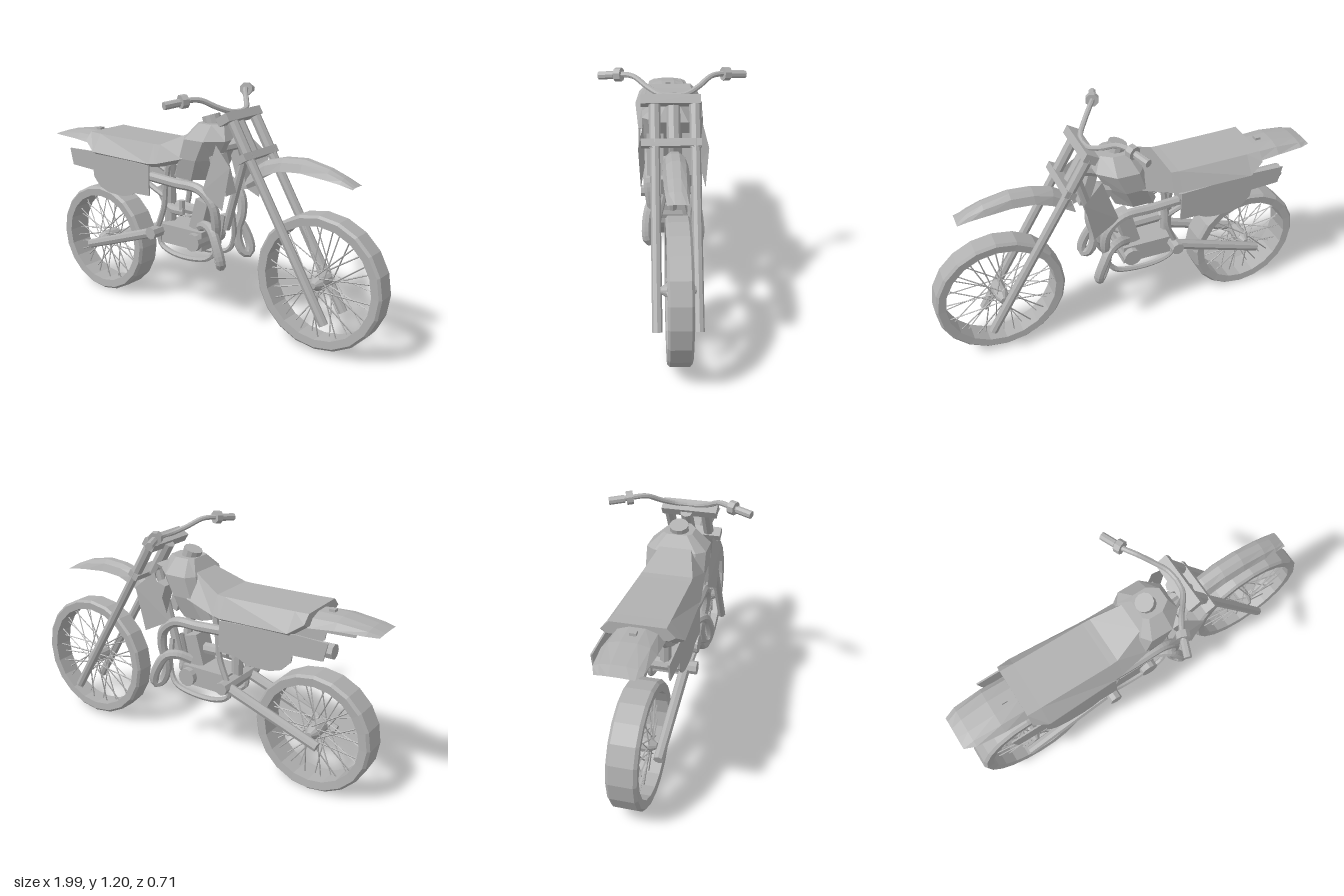
import * as THREE from 'three';

const grey = new THREE.MeshStandardMaterial({ color: 0xb0b0b0, flatShading: true, side: THREE.DoubleSide });
grey.name = 'grey';

const V = (x, y, z) => new THREE.Vector3(x, y, z);

function add(parent, name, geometry) {
  const mesh = new THREE.Mesh(geometry, grey);
  mesh.name = name;
  parent.add(mesh);
  return mesh;
}

// straight bar between two points
function rod(parent, name, a, b, r, sides = 8, r2 = r) {
  const dir = b.clone().sub(a);
  const mesh = add(parent, name, new THREE.CylinderGeometry(r2, r, dir.length(), sides));
  mesh.position.copy(a).add(b).multiplyScalar(0.5);
  mesh.quaternion.setFromUnitVectors(V(0, 1, 0), dir.normalize());
  return mesh;
}

// bent pipe through [x, y, z] points
function pipe(parent, name, pts, r, sides = 8) {
  const curve = new THREE.CatmullRomCurve3(pts.map(p => V(...p)));
  return add(parent, name, new THREE.TubeGeometry(curve, pts.length * 4, r, sides));
}

function box(parent, name, size, pos, tilt = 0) {
  const mesh = add(parent, name, new THREE.BoxGeometry(...size));
  mesh.position.set(...pos);
  mesh.rotation.z = tilt;
  return mesh;
}

// skin joining rows of [x, y, z] points; ring closes each row, caps closes the ends
function loft(rows, ring = false, caps = false) {
  const n = rows[0].length, pos = rows.flat(2), index = [];
  for (let i = 0; i < rows.length - 1; i++)
    for (let j = 0; j < (ring ? n : n - 1); j++) {
      const a = i * n + j, b = i * n + (j + 1) % n;
      index.push(a, b, a + n, b, b + n, a + n);
    }
  if (caps) for (const o of [0, (rows.length - 1) * n])
    for (let j = 1; j < n - 1; j++) index.push(...(o ? [o, o + j, o + j + 1] : [o, o + j + 1, o + j]));
  const g = new THREE.BufferGeometry();
  g.setAttribute('position', new THREE.Float32BufferAttribute(pos, 3));
  g.setIndex(index);
  g.computeVertexNormals();
  return g;
}

// arched mudguard from [x, crest height, drop to edge, half width, edge shift]
function mudguard(sections) {
  return loft(sections.map(([x, y, d, w, s = 0]) =>
    [[-1, 1], [-0.75, 0.35], [-0.3, 0.05], [0.3, 0.05], [0.75, 0.35], [1, 1]]
      .map(([k, e]) => [x + s * e, y - d * e, w * k])));
}

// tyre, rim, hub and crossed spokes
function wheel(name, x, y, z, R, thick, half) {
  const g = new THREE.Group();
  g.name = name;
  g.position.set(x, y, z);
  const inner = R - thick;
  const profile = [[inner, -half * 0.95], [R - 0.012, -half], [R, -half * 0.8],
    [R, half * 0.8], [R - 0.012, half], [inner, half * 0.95], [inner, -half * 0.95]]
    .map(p => new THREE.Vector2(...p));
  add(g, 'tyre', new THREE.LatheGeometry(profile, 20).rotateX(Math.PI / 2));
  rod(g, 'hub', V(0, 0, -0.045), V(0, 0, 0.045), 0.036, 12);
  for (const s of [1, -1]) rod(g, 'hubCone', V(0, 0, s * 0.045), V(0, 0, s * 0.08), 0.036, 12, 0.014);
  for (let i = 0; i < 36; i++) {
    const a = i / 36 * Math.PI * 2, side = i % 2 ? 1 : -1;
    const b = a + (i % 4 < 2 ? 0.9 : -0.9);
    rod(g, 'spoke', V(Math.cos(b) * 0.035, Math.sin(b) * 0.035, side * 0.05),
      V(Math.cos(a) * inner, Math.sin(a) * inner, side * 0.012), 0.0035, 4);
  }
  return g;
}

export function createModel() {
  const model = new THREE.Group();
  model.name = 'dirtBike';
  const bike = new THREE.Group();
  bike.name = 'bikeBody';
  bike.position.z = -0.005;
  model.add(bike);

  bike.add(wheel('frontWheel', 0.667, 0.35, -0.008, 0.33, 0.05, 0.055));
  bike.add(wheel('rearWheel', -0.69, 0.299, 0, 0.298, 0.052, 0.07));

  // fork clamps and steering head
  const rake = Math.atan2(0.53, 0.9);
  box(bike, 'topClamp', [0.068, 0.042, 0.276], [0.205, 1.08, 0.013], rake);
  box(bike, 'lowerClamp', [0.056, 0.035, 0.276], [0.308, 0.908, 0.013], rake);
  rod(bike, 'steeringHead', V(0.275, 0.9, 0), V(0.175, 1.07, 0), 0.032);

  // mudguards
  add(bike, 'frontMudguard', mudguard([[0.275, 0.81, 0.055, 0.055, -0.01], [0.3, 0.85, 0.06, 0.055, 0.02],
    [0.36, 0.89, 0.065, 0.056, 0.02], [0.46, 0.917, 0.06, 0.058], [0.57, 0.925, 0.06, 0.058],
    [0.7, 0.897, 0.045, 0.055], [0.77, 0.867, 0.025, 0.05], [0.83, 0.832, 0.004, 0.045]]));
  add(bike, 'rearMudguard', mudguard([[-0.996, 0.864, 0.004, 0.085], [-0.94, 0.883, 0.02, 0.108],
    [-0.8, 0.905, 0.045, 0.12], [-0.68, 0.905, 0.06, 0.118], [-0.5, 0.89, 0.06, 0.115]]));
  box(bike, 'tailNub', [0.03, 0.02, 0.03], [-0.735, 0.905, 0]);

  // seat: [x, top height, top half width, side height, side half width]
  add(bike, 'seat', loft([[-0.68, 0.915, 0.125, 0.875, 0.165], [-0.61, 0.912, 0.125, 0.825, 0.188],
    [-0.24, 0.905, 0.124, 0.81, 0.17], [-0.2, 0.907, 0.122, 0.815, 0.166], [-0.04, 0.98, 0.075, 0.86, 0.148]]
    .map(([x, t, w, s, b]) => [[x, t, w], [x, t, -w], [x, s, -b], [x, s - 0.02, -b + 0.03],
      [x, s - 0.02, b - 0.03], [x, s, b]]), true, true));

  // fuel tank: [rear x, front x, height, half width]
  add(bike, 'fuelTank', loft([[-0.14, 0.065, 0.755, 0.12], [-0.09, 0.11, 0.86, 0.145], [-0.06, 0.165, 0.96, 0.146],
    [-0.015, 0.13, 1.03, 0.07]].map(([a, b, y, w]) => {
    const m = a + (b - a) * 0.15, n = a + (b - a) * 0.65;
    return [[a, y, w * 0.7], [m, y, w], [n, y, w], [b, y, w * 0.5], [b, y, -w * 0.5], [n, y, -w], [m, y, -w], [a, y, -w * 0.7]];
  }), true, true));
  rod(bike, 'tankCap', V(0.043, 1.01, 0), V(0.025, 1.064, 0), 0.046, 12);

  // engine
  box(bike, 'crankcase', [0.26, 0.1, 0.17], [-0.1, 0.43, 0]);
  box(bike, 'cylinderBlock', [0.075, 0.16, 0.11], [-0.015, 0.555, 0], -0.28);
  rod(bike, 'engineCover', V(-0.01, 0.427, -0.115), V(-0.01, 0.427, 0.115), 0.046, 12);
  rod(bike, 'swingarmPivot', V(-0.245, 0.442, -0.155), V(-0.245, 0.442, 0.16), 0.033, 8);
  rod(bike, 'carburettor', V(-0.05, 0.56, 0), V(-0.19, 0.565, 0), 0.03);
  rod(bike, 'carburettorBowl', V(-0.135, 0.535, 0.035), V(-0.135, 0.61, 0.035), 0.016);
  pipe(bike, 'intakePipe', [[-0.31, 0.65, 0], [-0.27, 0.58, 0], [-0.21, 0.55, 0.02], [-0.12, 0.55, 0.03]], 0.025);
  rod(bike, 'shockAbsorber', V(-0.24, 0.82, 0), V(-0.24, 0.46, 0), 0.03);
  rod(bike, 'backbone', V(0.23, 0.96, 0), V(-0.26, 0.8, 0), 0.03);
  rod(bike, 'downTube', V(0.24, 0.92, 0), V(0.12, 0.5, 0), 0.022);
  rod(bike, 'silencer', V(-0.24, 0.755, -0.115), V(-0.81, 0.765, -0.115), 0.036);

  const panelShape = new THREE.Shape([[-0.8, 0.818], [-0.64, 0.822], [-0.24, 0.8], [-0.24, 0.645], [-0.34, 0.642],
    [-0.38, 0.622], [-0.43, 0.613], [-0.52, 0.617], [-0.58, 0.638], [-0.625, 0.685], [-0.63, 0.722], [-0.78, 0.73]]
    .map(p => new THREE.Vector2(...p)));

  for (const s of [1, -1]) {
    // fork legs
    const forkZ = s * 0.093 - 0.006;
    rod(bike, 'forkLeg', V(0.74, 0.18, forkZ), V(0.21, 1.08, forkZ), 0.023);
    rod(bike, 'forkUpper', V(0.32, 0.89, forkZ), V(0.21, 1.08, forkZ), 0.027);

    // handlebar, lever perch and grip
    pipe(bike, 'handlebar', [[0.2, 1.1, 0], [0.19, 1.105, s * 0.06], [0.15, 1.13, s * 0.12], [0.1, 1.165, s * 0.18],
      [0.065, 1.167, s * 0.235], [0.025, 1.15, s * 0.345]], 0.013);
    rod(bike, 'grip', V(0.05, 1.16, s * 0.275), V(0.022, 1.152, s * 0.348), 0.019);
    rod(bike, 'leverPerch', V(0.064, 1.166, s * 0.238), V(0.052, 1.163, s * 0.268), 0.033);

    // body panels
    const panel = add(bike, 'sidePanel', new THREE.ExtrudeGeometry(panelShape, { depth: 0.008, bevelEnabled: false }));
    panel.position.z = s * 0.165 - 0.004;
    add(bike, 'radiatorShroud', loft([[[0.16, 0.955, s * 0.14], [0.26, 0.865, s * 0.165]],
      [[0.075, 0.715, s * 0.135], [0.21, 0.645, s * 0.155]]]));
    box(bike, 'radiator', [0.05, 0.2, 0.08], [0.16, 0.8, s * 0.085], 0.3);

    // exhaust loop and its return under the tank
    pipe(bike, 'exhaustPipe', [[0.0, 0.5, s * 0.05], [0.06, 0.525, s * 0.085], [0.115, 0.515, s * 0.112],
      [0.155, 0.455, s * 0.128], [0.182, 0.38, s * 0.13], [0.178, 0.35, s * 0.12], [0.155, 0.36, s * 0.1],
      [0.13, 0.42, s * 0.09], [0.125, 0.48, s * 0.095], [0.14, 0.56, s * 0.11], [0.125, 0.65, s * 0.12],
      [0.05, 0.715, s * 0.122], [-0.1, 0.725, s * 0.125], [-0.26, 0.735, s * 0.125]], 0.025);

    // frame tubes
    pipe(bike, 'cradleTube', [[-0.25, 0.44, s * 0.08], [-0.24, 0.37, s * 0.08], [-0.17, 0.335, s * 0.08],
      [-0.02, 0.33, s * 0.08], [0.08, 0.36, s * 0.08], [0.12, 0.44, s * 0.07], [0.13, 0.58, s * 0.04]], 0.014, 6);
    pipe(bike, 'seatTube', [[-0.17, 0.8, s * 0.1], [-0.19, 0.68, s * 0.1], [-0.2, 0.58, s * 0.1],
      [-0.25, 0.45, s * 0.1]], 0.015, 6);
    rod(bike, 'subframeTube', V(-0.2, 0.64, s * 0.1), V(-0.6, 0.82, s * 0.1), 0.014, 6);

    // swingarm
    rod(bike, 'swingarm', V(-0.245, 0.437, s * 0.1), V(-0.745, 0.265, s * 0.1), 0.027, 8, 0.024);
  }
  return model;
}
